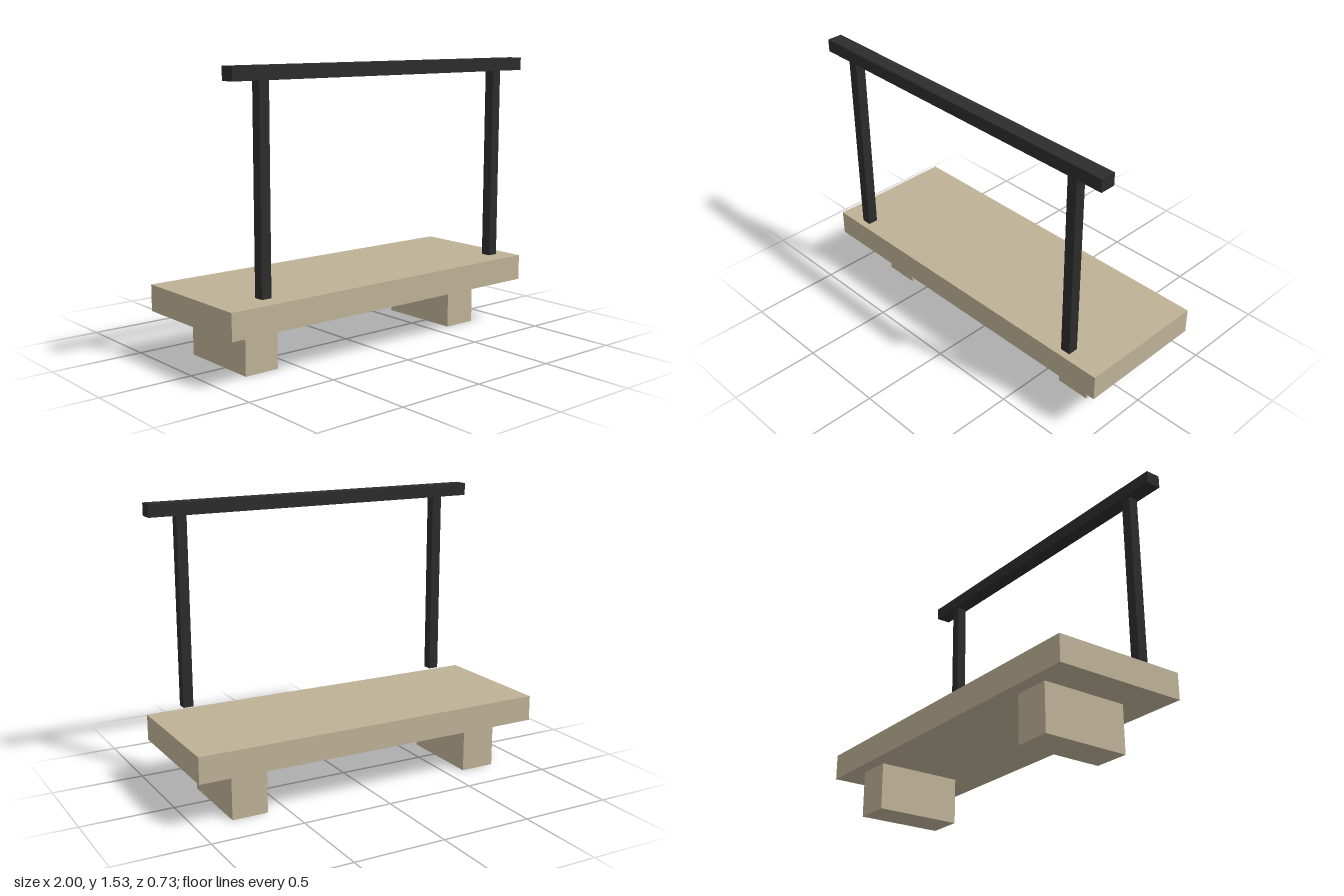
import * as THREE from 'three';

export function createModel() {
  const model = new THREE.Group();
  model.name = 'benchWithRail';

  const stone = new THREE.MeshStandardMaterial({ color: 0xbeb196 });
  stone.name = 'sand stone';
  const metal = new THREE.MeshStandardMaterial({ color: 0x2c2c2c });
  metal.name = 'dark metal';

  // Box given by its minimum and maximum corners
  function addBox(name, material, min, max) {
    const size = max.map((v, i) => v - min[i]);
    const mesh = new THREE.Mesh(new THREE.BoxGeometry(...size), material);
    mesh.position.set(...min.map((v, i) => (v + max[i]) / 2));
    mesh.name = name;
    model.add(mesh);
  }

  // Seat slab
  addBox('seat', stone, [-1, 0.255, -0.367], [1, 0.396, 0.367]);

  // Support blocks, set towards the back, and rail posts above the front edge
  for (const [side, s] of [['left', 1], ['right', -1]]) {
    const leg = s * 0.703;
    addBox(`${side}Leg`, stone, [leg - 0.098, 0, -0.294], [leg + 0.098, 0.255, 0.186]);

    const post = s * 0.789;
    addBox(`${side}Post`, metal, [post - 0.028, 0.425, 0.298], [post + 0.028, 1.463, 0.354]);
  }

  // Top rail
  addBox('topRail', metal, [-0.974, 1.463, 0.283], [0.972, 1.532, 0.367]);

  return model;
}
